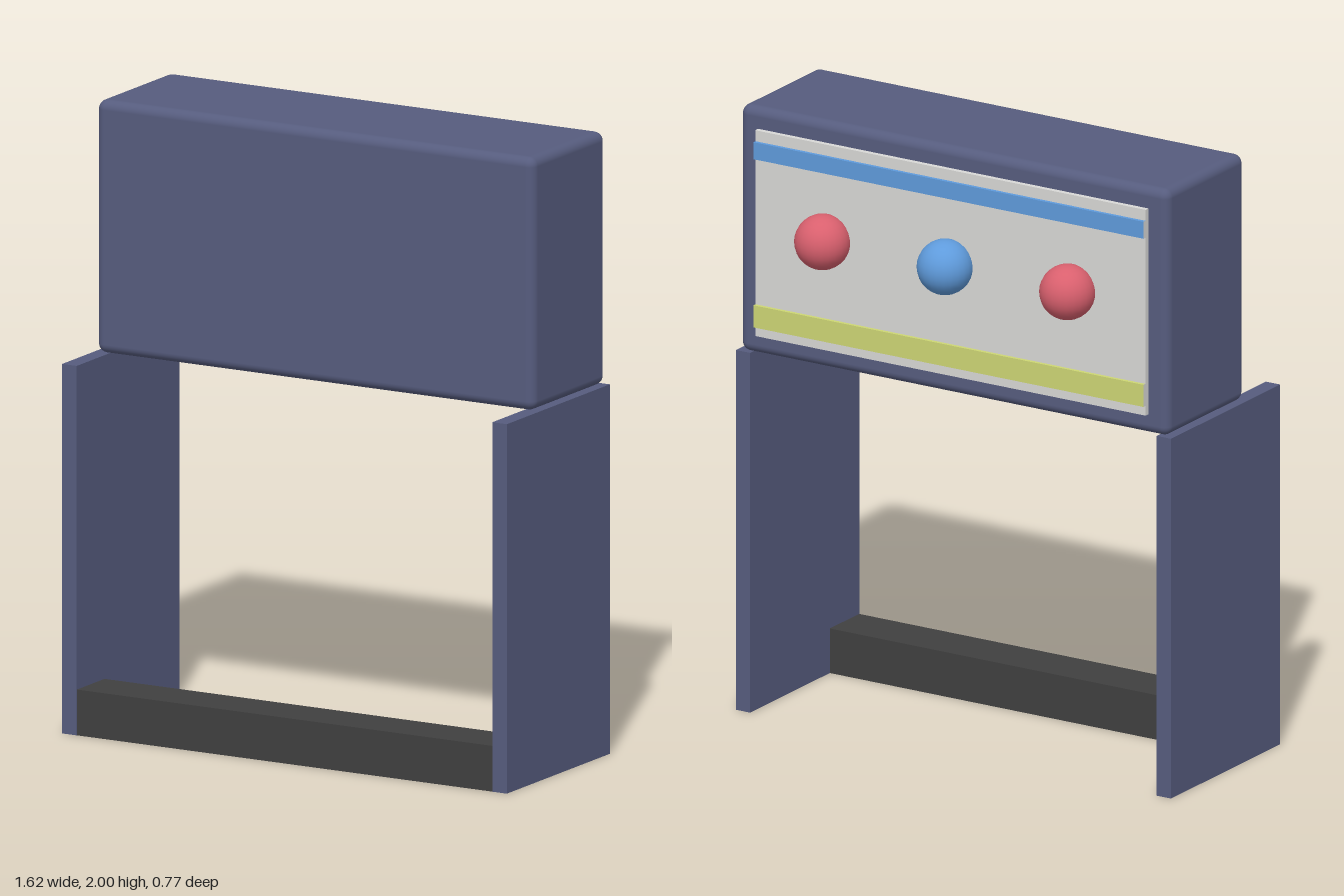
import * as THREE from 'three';
import { RoundedBoxGeometry } from 'three/addons/geometries/RoundedBoxGeometry.js';

function paint(name, color) {
  const material = new THREE.MeshStandardMaterial({ color });
  material.name = name;
  return material;
}

export function createModel() {
  const group = new THREE.Group();
  const navy = paint('navy', 0x565c7e);
  const charcoal = paint('charcoal', 0x404040);
  const grey = paint('light grey', 0xd8d8d6);
  const red = paint('red', 0xd9606e);
  const blue = paint('blue', 0x5f9bdc);
  const yellow = paint('yellow green', 0xcdd674);

  const add = (name, geometry, material, x, y, z) => {
    const mesh = new THREE.Mesh(geometry, material);
    mesh.name = name;
    mesh.position.set(x, y, z);
    group.add(mesh);
  };
  // Box given by its lower and upper limits on each axis
  const box = (name, material, [x0, x1], [y0, y1], [z0, z1]) =>
    add(name, new THREE.BoxGeometry(x1 - x0, y1 - y0, z1 - z0), material,
      (x0 + x1) / 2, (y0 + y1) / 2, (z0 + z1) / 2);

  // Upper cabinet with softened edges
  add('cabinet', new RoundedBoxGeometry(1.59, 0.813, 0.45, 4, 0.03), navy, 0, 1.5935, -0.022);

  // Side panels and the footboard between them
  box('leftSide', navy, [0.755, 0.808], [0, 1.187], [-0.247, 0.386]);
  box('rightSide', navy, [-0.808, -0.755], [0, 1.187], [-0.247, 0.386]);
  box('footboard', charcoal, [-0.755, 0.755], [0, 0.147], [0.215, 0.385]);

  // Display panel on the back, with coloured bars that have plain ends
  box('displayPanel', grey, [-0.725, 0.725], [1.253, 1.932], [-0.264, -0.24]);
  const bar = (name, color, y) =>
    box(name, [grey, grey, color, color, color, color], [-0.724, 0.724], y, [-0.276, -0.26]);
  bar('upperBar', blue, [1.84, 1.896]);
  bar('lowerBar', yellow, [1.285, 1.358]);

  // Row of three balls
  const ball = new THREE.SphereGeometry(0.089, 24, 16);
  [[-0.455, red], [0, blue], [0.455, red]].forEach(([x, material], i) =>
    add('ball' + (i + 1), ball, material, x, 1.622, -0.296));

  return group;
}
